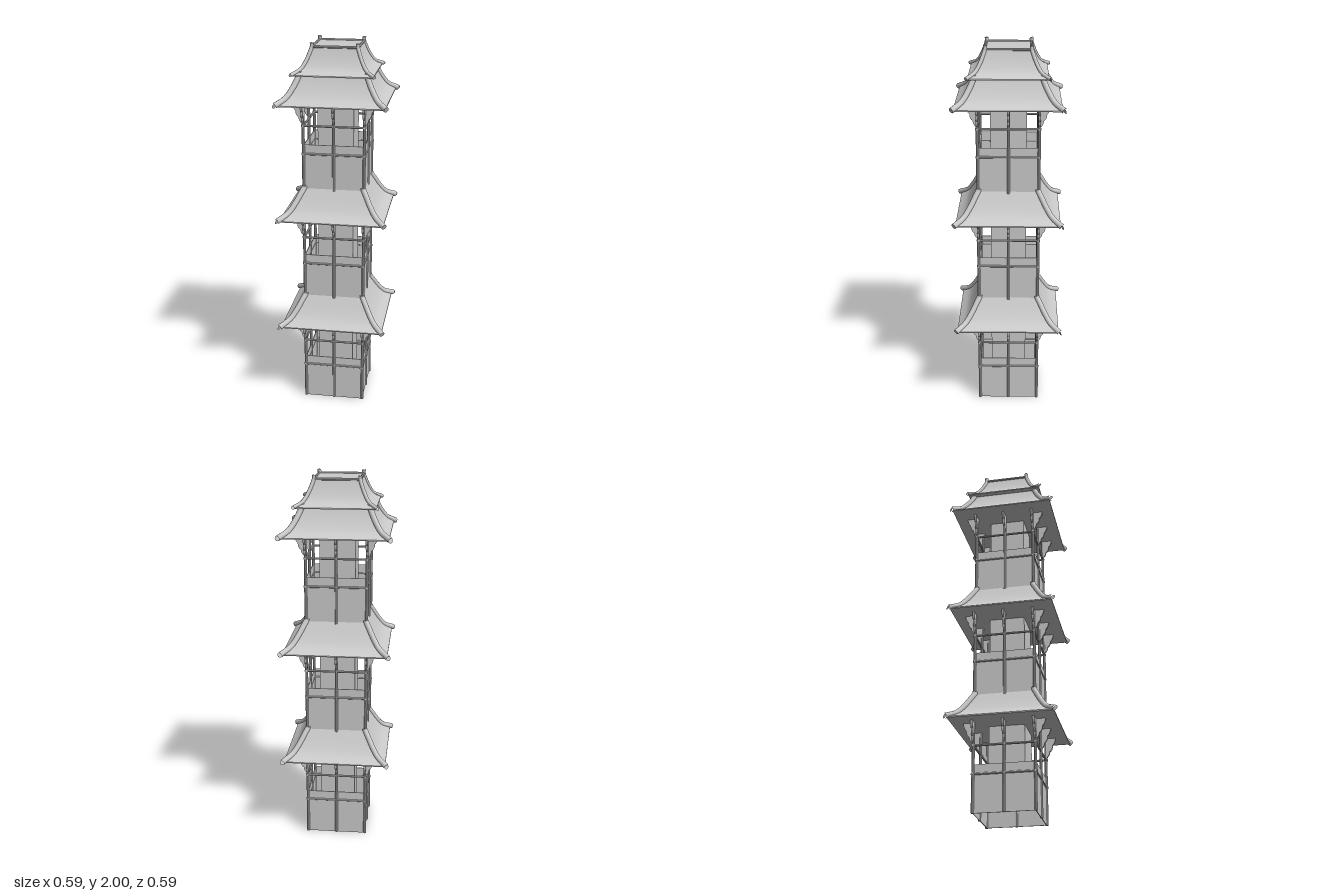
import * as THREE from 'three';
import { toCreasedNormals } from 'three/addons/utils/BufferGeometryUtils.js';

const material = new THREE.MeshStandardMaterial({ color: 0xcccccc });
const thin = new THREE.MeshStandardMaterial({ color: 0xcccccc, side: THREE.DoubleSide });

const HALF = 0.16;      // half width of the tower walls
const STOREY = 0.615;   // height from one storey to the next
const EAVE = 0.475;     // eave height above the storey's floor
const SIDES = [0, 1, 2, 3].map((i) => (i * Math.PI) / 2);

function add(parent, name, geometry, mat = material) {
  const mesh = new THREE.Mesh(geometry, mat);
  mesh.name = name;
  parent.add(mesh);
  return mesh;
}

// Round bar along y (vertical) or x (horizontal)
function bar(parent, name, radius, length, horizontal) {
  const g = new THREE.CylinderGeometry(radius, radius, length, 10);
  if (horizontal) g.rotateZ(Math.PI / 2);
  return add(parent, name, toCreasedNormals(g, 0.9));
}

// Square roof with concave slopes, flat underside and hip ridges.
// Profile entries are [half width, height], from eave to top.
function roof(name, profile, ridgeRadius, tip) {
  const group = new THREE.Group();
  group.name = name;
  const curve = new THREE.SplineCurve(profile.map(([w, y]) => new THREE.Vector2(w, y)));
  const slope = curve.getPoints(14);
  const [ew, ey] = profile[0];
  const ty = profile[profile.length - 1][1];
  const outline = [
    new THREE.Vector2(0, ey - 0.006), new THREE.Vector2(ew, ey - 0.006),
    ...slope, new THREE.Vector2(0, ty),
  ].map((p) => new THREE.Vector2(p.x * Math.SQRT2, p.y));
  add(group, 'roofSlopes', toCreasedNormals(new THREE.LatheGeometry(outline, 4, Math.PI / 4), 0.5));

  // Hip ridges run a little past the eave and the top
  const line = [[ew + 0.007, ey + 0.001], ...profile.slice(1)];
  line.push([profile[profile.length - 1][0], ty + tip]);
  const path = new THREE.CatmullRomCurve3(line.map(([w, y]) => new THREE.Vector3(w, y, w)));
  const tube = new THREE.TubeGeometry(path, 20, ridgeRadius, 10);
  for (const angle of SIDES) {
    const hip = new THREE.Group();
    hip.name = 'hipRidge';
    hip.rotation.y = angle;
    add(hip, 'ridgeBar', tube);
    for (const t of [0, 1]) {
      const cap = add(hip, 'ridgeEnd', new THREE.CircleGeometry(ridgeRadius, 10), thin);
      const at = path.getPointAt(t);
      cap.position.copy(at);
      cap.lookAt(at.clone().addScaledVector(path.getTangentAt(t), t ? 1 : -1));
    }
    group.add(hip);
  }
  return group;
}

// Thin scalloped bracket reaching outward (+z) under the eave
function bracketGeometry() {
  const s = new THREE.Shape();
  s.moveTo(0, EAVE - 0.115);
  s.quadraticCurveTo(0.02, EAVE - 0.105, 0.022, EAVE - 0.08);
  s.quadraticCurveTo(0.038, EAVE - 0.07, 0.038, EAVE - 0.045);
  s.quadraticCurveTo(0.052, EAVE - 0.035, 0.055, EAVE);
  s.lineTo(0, EAVE);
  const g = new THREE.ExtrudeGeometry(s, { depth: 0.012, bevelEnabled: false, curveSegments: 5 });
  g.translate(0, 0, -0.006);
  g.rotateY(-Math.PI / 2);
  return g;
}

function storey(index) {
  const group = new THREE.Group();
  group.name = 'storey' + (index + 1);
  group.position.y = index * STOREY;

  const core = add(group, 'innerCore', new THREE.BoxGeometry(0.19, EAVE - 0.13, 0.19));
  core.position.y = (EAVE + 0.13) / 2;

  const bracket = bracketGeometry();
  for (const angle of SIDES) {
    const side = new THREE.Group();
    side.name = 'side';
    side.rotation.y = angle;
    group.add(side);

    // Low wall panel
    const wall = add(side, 'wallPanel', new THREE.BoxGeometry(HALF * 2, 0.25, 0.004));
    wall.position.set(0, 0.125, HALF - 0.002);

    // Rails below and above the opening
    for (const y of [0.2, 0.35]) {
      bar(side, 'rail', 0.006, HALF * 2 + 0.02, true).position.set(0, y, HALF);
    }
    // Corner post and middle post
    for (const x of [-HALF, 0]) {
      bar(side, 'post', 0.008, EAVE, false).position.set(x, EAVE / 2, HALF);
    }
    // Eave brackets on each post
    for (const x of [-HALF, 0, HALF]) {
      add(side, 'eaveBracket', bracket).position.set(x, 0, HALF);
    }
  }
  return group;
}

export function createModel() {
  const model = new THREE.Group();
  model.name = 'pagodaTower';

  for (let i = 0; i < 3; i++) model.add(storey(i));

  // Skirt roofs over the two lower storeys
  for (let i = 0; i < 2; i++) {
    const skirt = roof('skirtRoof', [
      [0.275, 0.475], [0.232, 0.507], [0.2, 0.552], [0.174, 0.6], [0.156, 0.635],
    ], 0.015, 0.006);
    skirt.position.y = i * STOREY;
    model.add(skirt);
  }

  // Two-tiered top roof
  model.add(roof('topRoofLower', [
    [0.275, 1.705], [0.235, 1.735], [0.205, 1.778], [0.182, 1.825], [0.17, 1.86],
  ], 0.015, 0.004));
  model.add(roof('topRoofUpper', [
    [0.205, 1.848], [0.168, 1.873], [0.143, 1.913], [0.126, 1.955], [0.118, 1.98],
  ], 0.01, 0.02));

  // Bars framing the flat top
  for (const angle of SIDES) {
    const edge = new THREE.Group();
    edge.name = 'topFrame';
    edge.rotation.y = angle;
    bar(edge, 'topBar', 0.007, 0.236, true).position.set(0, 1.981, 0.119);
    model.add(edge);
  }
  return model;
}
